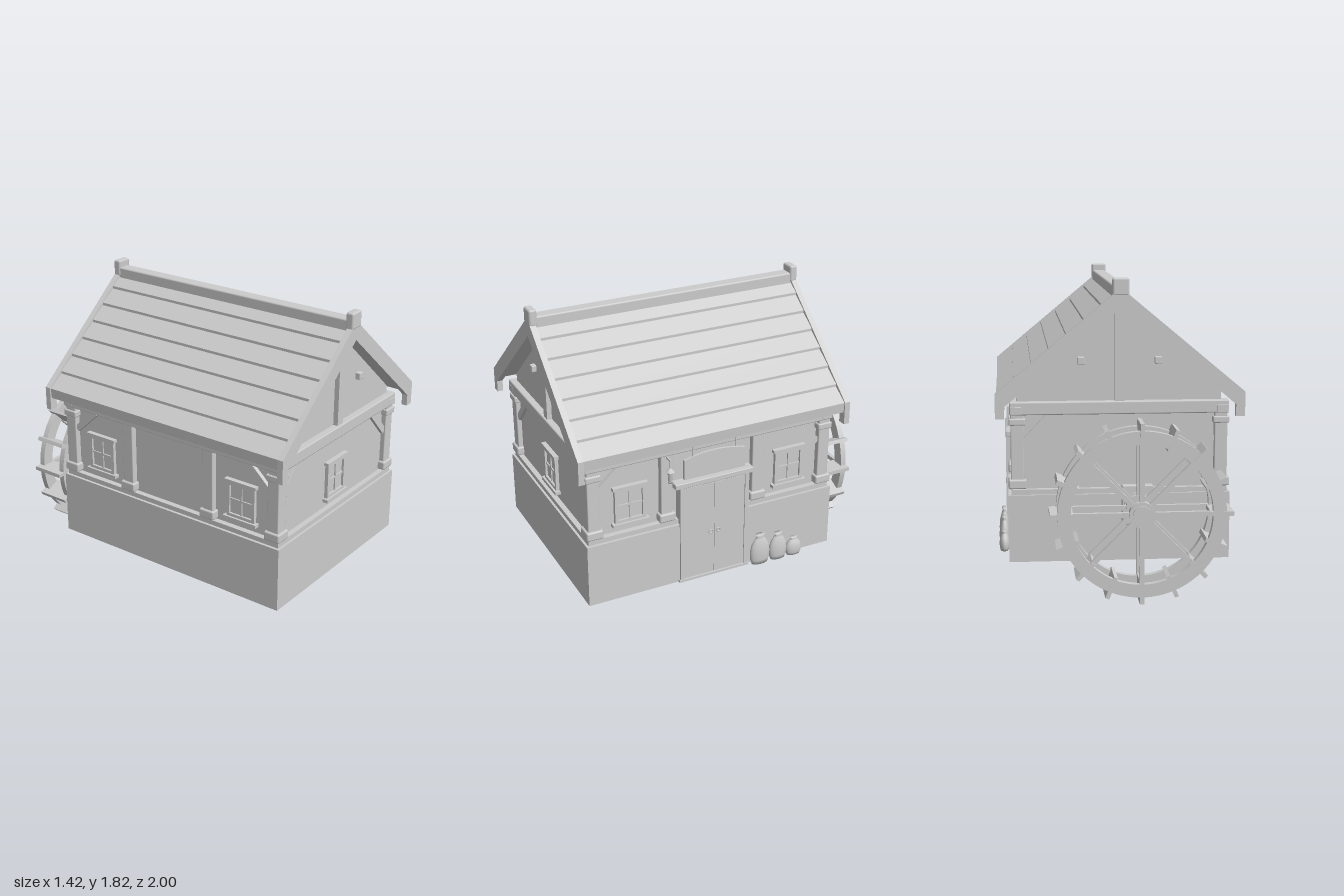
import * as THREE from 'three';
import { RoundedBoxGeometry } from 'three/addons/geometries/RoundedBoxGeometry.js';

const stone = new THREE.MeshStandardMaterial({ color: 0xcccccc, side: THREE.DoubleSide });
stone.name = 'plain grey';

function add(parent, name, geometry, x = 0, y = 0, z = 0) {
  const mesh = new THREE.Mesh(geometry, stone);
  mesh.name = name;
  mesh.position.set(x, y, z);
  parent.add(mesh);
  return mesh;
}

function group(parent, name, x = 0, y = 0, z = 0, turn = 0) {
  const g = new THREE.Group();
  g.name = name;
  g.position.set(x, y, z);
  g.rotation.y = turn;
  parent.add(g);
  return g;
}

// box from its limits; a bevel gives worn timber edges
function box(parent, name, x0, x1, y0, y1, z0, z1, bevel = 0) {
  const s = [x1 - x0, y1 - y0, z1 - z0];
  const g = bevel ? new RoundedBoxGeometry(...s, 1, bevel) : new THREE.BoxGeometry(...s);
  return add(parent, name, g, (x0 + x1) / 2, (y0 + y1) / 2, (z0 + z1) / 2);
}

function polygon(points) {
  return new THREE.Shape(points.map(p => new THREE.Vector2(...p)));
}

function slab(shape, depth) {
  return new THREE.ExtrudeGeometry(shape, { depth, bevelEnabled: false, curveSegments: 48 });
}

// half profile on +x, mirrored to a closed outline
function mirrored(points) {
  const left = points.filter(p => p[0] > 0).reverse().map(([x, y]) => [-x, y]);
  return [...points, ...left];
}

// window facing +z, centred on its own origin
function addWindow(parent, x, y, z, turn) {
  const w = group(parent, 'window', x, y, z, turn);
  box(w, 'pane', -0.08, 0.08, -0.09, 0.09, 0, 0.008);
  for (const s of [-1, 1]) {
    box(w, 'windowJamb', s * 0.087 - 0.01, s * 0.087 + 0.01, -0.11, 0.11, 0, 0.022);
    box(w, 'windowRail', -0.08, 0.08, s * 0.1 - 0.01, s * 0.1 + 0.01, 0, 0.022);
  }
  box(w, 'mullion', -0.006, 0.006, -0.09, 0.09, 0, 0.016);
  box(w, 'crossbar', -0.08, 0.08, -0.006, 0.006, 0, 0.016);
  box(w, 'windowHead', -0.11, 0.11, 0.108, 0.126, 0, 0.03);
  box(w, 'windowSill', -0.115, 0.115, -0.128, -0.108, 0, 0.035);
}

// diagonal brace in the xy plane, from post (x0,y0) to beam (x1,y1)
function addBrace(parent, x0, y0, x1, y1, z) {
  const len = Math.hypot(x1 - x0, y1 - y0);
  const b = add(parent, 'brace', new THREE.BoxGeometry(len, 0.04, 0.03), (x0 + x1) / 2, (y0 + y1) / 2, z);
  b.rotation.z = Math.atan2(y1 - y0, x1 - x0);
}

function addPost(parent, x, z, capped) {
  const p = group(parent, 'post', x, 0, z);
  box(p, 'postShaft', -0.038, 0.038, 0.61, 1.05, -0.038, 0.038, 0.006);
  box(p, 'postFoot', -0.052, 0.052, 0.61, 0.665, -0.052, 0.052, 0.01);
  if (capped) box(p, 'postCap', -0.048, 0.048, 0.98, 1.02, -0.048, 0.048, 0.008);
}

function addEnd(house, turn) {
  const e = group(house, 'gableEnd', 0, 0, 0, turn);
  add(e, 'gableWall', slab(polygon(mirrored([[0.59, 0.575], [0.59, 1.16], [0, 1.67]])), 0.02), 0, 0, 0.745);
  box(e, 'tieBeam', -0.632, 0.632, 1.04, 1.115, 0.735, 0.808, 0.008);
  box(e, 'kingPost', -0.028, 0.028, 1.11, 1.66, 0.755, 0.795);
  box(e, 'ledge', -0.625, 0.625, 0.575, 0.605, 0.74, 0.798);
  for (const s of [-1, 1]) {
    box(e, 'peg', s * 0.222 - 0.021, s * 0.222 + 0.021, 1.326, 1.368, 0.75, 0.795, 0.005);
    addBrace(e, s * 0.55, 0.875, s * 0.39, 1.045, 0.772);
  }
  // verge boards with a dropped foot, and a ridge cap
  add(e, 'vergeBoard', slab(polygon(mirrored([[0, 1.653], [0.66, 1.1], [0.66, 1.03], [0.712, 1.03],
    [0.712, 1.172], [0, 1.765]])), 0.036), 0, 0, 0.838);
  box(e, 'ridgeCap', -0.048, 0.048, 1.72, 1.82, 0.828, 0.877, 0.012);
  return e;
}

// side wall facing +x
function addSide(house, turn) {
  const s = group(house, 'sideWall', 0, 0, 0, turn);
  box(s, 'plaster', 0.57, 0.59, 0.575, 1.16, -0.765, 0.765);
  box(s, 'wallPlate', 0.56, 0.63, 1.04, 1.09, -0.81, 0.81, 0.006);
  box(s, 'ledge', 0.57, 0.625, 0.575, 0.605, -0.798, 0.798);
  for (const k of [-1, 1]) {
    addPost(s, 0.588, k * 0.758, true);
    addPost(s, 0.588, k * 0.3, false);
    addWindow(s, 0.59, 0.775, k * 0.525, Math.PI / 2);
  }
  const braces = group(s, 'sideBraces', 0, 0, 0, Math.PI / 2);
  for (const k of [-1, 1]) addBrace(braces, k * 0.72, 0.9, k * 0.565, 1.045, 0.6);
  return s;
}

// double door with arched board above it, on the +x side
function addDoor(house) {
  const d = group(house, 'doorway', 0, 0, 0, Math.PI / 2);
  for (const s of [-1, 1]) {
    const edge = s * 0.102;
    box(d, 'doorLeaf', edge - 0.101, edge + 0.101, 0.19, 0.81, 0.58, 0.648);
    box(d, 'doorJamb', s * 0.214 - 0.013, s * 0.214 + 0.013, 0.18, 0.82, 0.58, 0.655);
    add(d, 'doorRing', new THREE.TorusGeometry(0.012, 0.004, 8, 16), s * 0.026, 0.483, 0.653);
    box(d, 'signHook', s * 0.142 - 0.003, s * 0.142 + 0.003, 0.99, 1.07, 0.635, 0.641);
  }
  box(d, 'lintel', -0.258, 0.258, 0.815, 0.85, 0.57, 0.655, 0.005);
  box(d, 'doorstep', -0.235, 0.235, 0.18, 0.195, 0.58, 0.66);
  const board = polygon([[-0.2, 0.87], [0.2, 0.87], [0.2, 0.995]]);
  board.quadraticCurveTo(0, 1.052, -0.2, 0.995);
  add(d, 'archedBoard', slab(board, 0.016), 0, 0, 0.633);
}

function addLantern(house) {
  const l = group(house, 'lantern', 0.676, 0, 0.302);
  box(l, 'lanternArm', -0.06, 0.004, 1.03, 1.038, -0.004, 0.004);
  box(l, 'lanternHanger', -0.003, 0.003, 0.97, 1.035, -0.003, 0.003);
  add(l, 'lanternRoof', new THREE.ConeGeometry(0.027, 0.026, 6), 0, 0.977, 0);
  add(l, 'lanternGlass', new THREE.CylinderGeometry(0.018, 0.014, 0.06, 6), 0, 0.934, 0);
  add(l, 'lanternBase', new THREE.CylinderGeometry(0.018, 0.012, 0.014, 6), 0, 0.897, 0);
}

// flattened sacks leaning on the wall
function addSacks(house) {
  const profile = [[0, 0], [0.8, 0.01], [0.95, 0.15], [1, 0.4], [0.85, 0.65], [0.5, 0.84], [0.32, 0.9], [0.5, 1], [0, 0.97]]
    .map(p => new THREE.Vector2(...p));
  for (const [z, h, r] of [[-0.305, 0.205, 0.067], [-0.432, 0.182, 0.061], [-0.545, 0.12, 0.055]]) {
    const sack = add(house, 'sack', new THREE.LatheGeometry(profile, 20), 0.67, 0.18, z);
    sack.scale.set(0.03, h, r);
  }
}

function addRoof(house) {
  // overlapping planks as a stepped outline
  const top = x => 1.757 - 0.835 * x;
  const outline = [[0, 1.69], [0.7, 1.105]];
  for (let i = 0; i < 7; i++) {
    const x = 0.705 - i * 0.1;
    outline.push([x, top(x)], [x - 0.1, top(x - 0.1) - 0.016]);
  }
  outline.push([0, 1.73]);
  add(house, 'roofPlanks', slab(polygon(mirrored(outline)), 1.68), 0, 0, -0.84);
  box(house, 'ridgeBeam', -0.042, 0.042, 1.68, 1.776, -0.84, 0.84, 0.01);
}

function addWheel(root) {
  const w = group(root, 'waterWheel', -0.1, 0.517, -0.878);
  const ring = new THREE.Shape().absarc(0, 0, 0.475, 0, Math.PI * 2);
  ring.holes.push(new THREE.Path().absarc(0, 0, 0.4, 0, Math.PI * 2, true));
  for (const s of [-1, 1]) {
    add(w, 'rim', slab(ring, 0.036), 0, 0, s * 0.085 - 0.018);
    add(w, 'hub', new THREE.CylinderGeometry(0.075, 0.075, 0.045, 24), 0, 0, s * 0.087).rotation.x = Math.PI / 2;
    for (let i = 0; i < 8; i++) {
      const arm = group(w, 'spokeArm', 0, 0, s * 0.085);
      arm.rotation.z = i * Math.PI / 4;
      box(arm, 'spoke', -0.014, 0.014, 0.04, 0.41, -0.012, 0.012);
    }
  }
  for (let i = 0; i < 16; i++) {
    const arm = group(w, 'paddleArm');
    arm.rotation.z = i * Math.PI / 8;
    box(arm, 'paddle', -0.012, 0.012, 0.385, 0.516, -0.104, 0.104);
  }
  // axle and its wall mount
  add(w, 'axle', new THREE.CylinderGeometry(0.04, 0.04, 0.34, 20), 0, 0, 0.05).rotation.x = Math.PI / 2;
  add(w, 'axleCap', new THREE.CylinderGeometry(0.055, 0.055, 0.03, 20), 0, 0, -0.107).rotation.x = Math.PI / 2;
  add(w, 'bearing', new THREE.CylinderGeometry(0.078, 0.078, 0.025, 24), 0, 0, 0.137).rotation.x = Math.PI / 2;
  box(w, 'axleMount', -0.09, 0.09, -0.117, 0.113, 0.148, 0.2, 0.006);
}

export function createModel() {
  const root = new THREE.Group();
  root.name = 'waterMill';
  const house = group(root, 'house', 0, 0, 0.1225);

  // hollow stone base, open below
  const base = polygon([[-0.642, -0.8125], [0.642, -0.8125], [0.642, 0.8125], [-0.642, 0.8125]]);
  base.holes.push(polygon([[-0.59, -0.76], [-0.59, 0.76], [0.59, 0.76], [0.59, -0.76]]));
  add(house, 'stoneBase', slab(base, 0.395), 0, 0.575, 0).rotation.x = Math.PI / 2;

  const front = addEnd(house, 0);
  addWindow(front, 0, 0.775, 0.765, 0);
  addEnd(house, Math.PI);
  addSide(house, 0);
  addSide(house, Math.PI);
  addDoor(house);
  addLantern(house);
  addSacks(house);
  addRoof(house);
  addWheel(root);
  return root;
}
